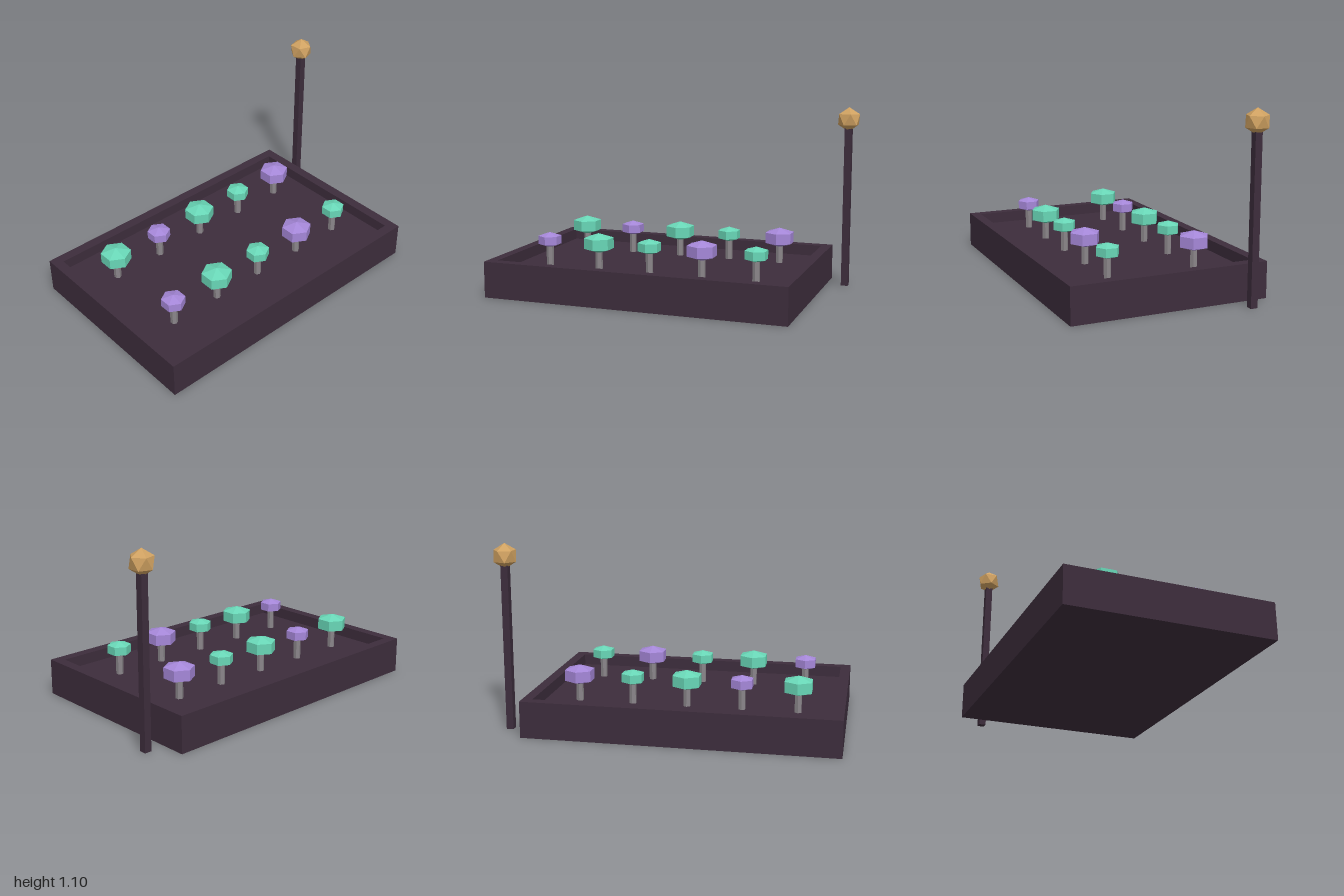
import * as THREE from 'three';

const material = (name, color) => {
  const m = new THREE.MeshStandardMaterial({ color, flatShading: true });
  m.name = name;
  return m;
};

export function createModel() {
  const model = new THREE.Group();
  model.name = 'mushroomPlanter';

  const wood = material('dark plum wood', 0x3d2d3c);
  const green = material('mint green', 0x68d6b6);
  const purple = material('soft purple', 0xa587d8);
  const grey = material('stem grey', 0x8a8589);
  const gold = material('lantern gold', 0xcfa161);

  const add = (parent, name, geometry, mat, x = 0, y = 0, z = 0) => {
    const mesh = new THREE.Mesh(geometry, mat);
    mesh.name = name;
    mesh.position.set(x, y, z);
    parent.add(mesh);
    return mesh;
  };

  // Planter tray: rectangular rim around a sunken floor
  const trayX = -0.09, width = 1.82, depth = 1.18, wall = 0.06, height = 0.215, floorY = 0.148;
  const rectangle = (path, w, d) => path
    .moveTo(-w / 2, -d / 2).lineTo(w / 2, -d / 2)
    .lineTo(w / 2, d / 2).lineTo(-w / 2, d / 2).closePath();
  const outline = new THREE.Shape();
  rectangle(outline, width, depth);
  const opening = new THREE.Path();
  rectangle(opening, width - 2 * wall, depth - 2 * wall);
  outline.holes.push(opening);
  const rim = new THREE.ExtrudeGeometry(outline, { depth: height, bevelEnabled: false });
  rim.rotateX(-Math.PI / 2);
  add(model, 'trayRim', rim, wood, trayX);
  add(model, 'trayFloor', new THREE.BoxGeometry(width - 2 * wall, floorY, depth - 2 * wall),
    wood, trayX, floorY / 2);

  // Mushrooms: six-sided caps on thin stems, in two rows
  const capProfile = [[0, -0.06], [0.089, -0.032], [0.089, 0.032], [0, 0.06]]
    .map(([r, y]) => new THREE.Vector2(r, y));
  const capGeometry = new THREE.LatheGeometry(capProfile, 6);
  const stemTop = 0.29;
  const stemGeometry = new THREE.CylinderGeometry(0.022, 0.022, stemTop - floorY, 6);
  const SMALL = 0.775;
  const rows = [
    { z: -0.27, caps: [[green, 1], [purple, SMALL], [green, 1], [green, SMALL], [purple, 1]] },
    { z: 0.265, caps: [[purple, SMALL], [green, 1], [green, SMALL], [purple, 1], [green, SMALL]] },
  ];
  for (const { z, caps } of rows) {
    caps.forEach(([mat, size], i) => {
      const mushroom = new THREE.Group();
      mushroom.name = 'mushroom';
      mushroom.position.set(-0.733 + i * 0.322, 0, z);
      add(mushroom, 'stem', stemGeometry, grey, 0, (stemTop + floorY) / 2);
      add(mushroom, 'cap', capGeometry, mat, 0, 0.304).scale.setScalar(size);
      model.add(mushroom);
    });
  }

  // Lamp post beside the tray, topped by a faceted globe standing on one corner
  const lampX = 0.932, lampZ = -0.43;
  add(model, 'lampPost', new THREE.BoxGeometry(0.042, 0.98, 0.042), wood, lampX, 0.49, lampZ);
  const globe = new THREE.IcosahedronGeometry(0.0735, 0);
  globe.rotateX(-Math.atan((1 + Math.sqrt(5)) / 2)).rotateY(Math.PI / 2);
  add(model, 'lampGlobe', globe, gold, lampX, 1.022, lampZ);

  return model;
}
